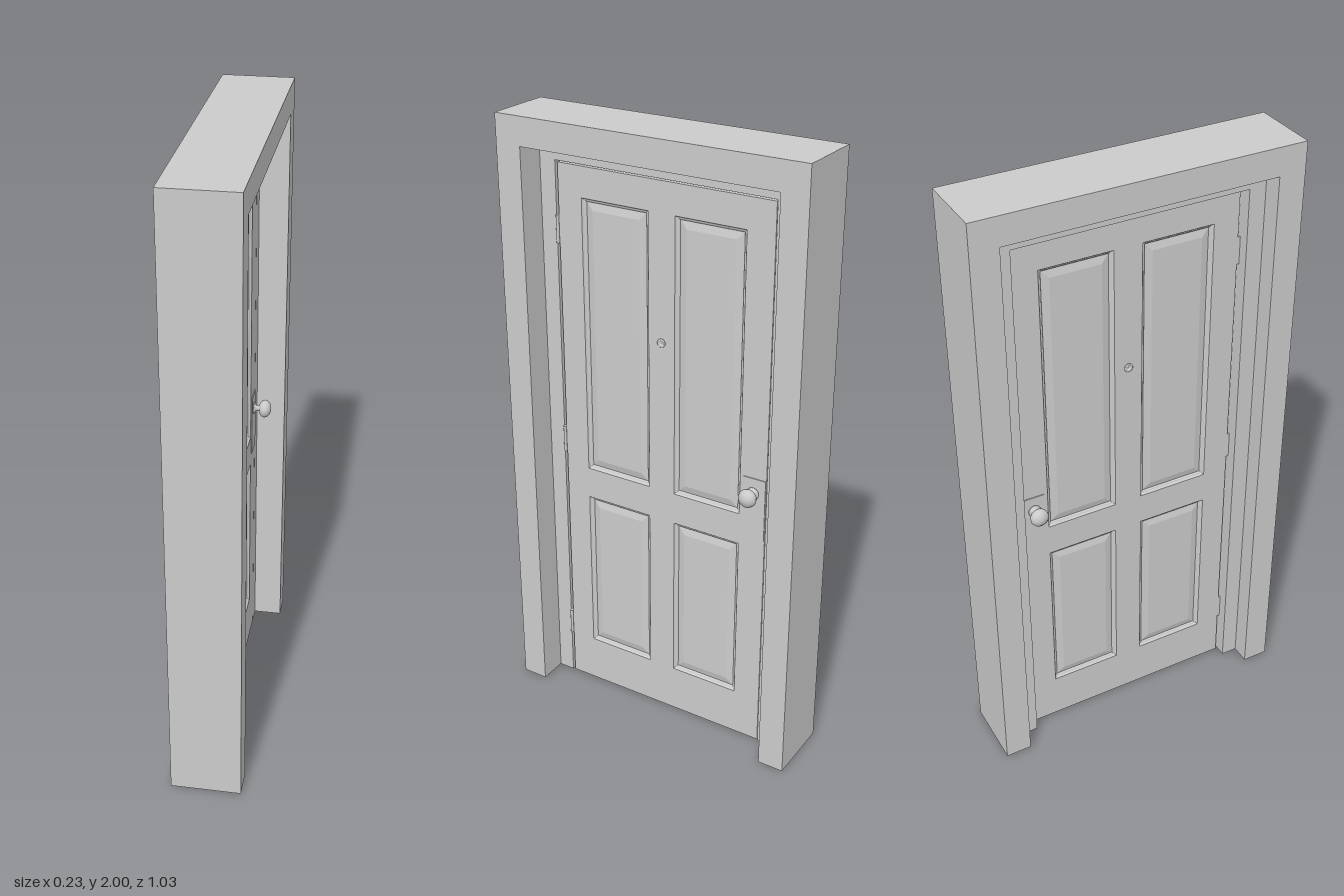
import * as THREE from 'three';

const material = new THREE.MeshStandardMaterial({ color: 0xcccccc });

function add(parent, geometry, name, x = 0, y = 0, z = 0) {
  const mesh = new THREE.Mesh(geometry, material);
  mesh.name = name;
  mesh.position.set(x, y, z);
  parent.add(mesh);
  return mesh;
}

const loop = (points) => points.map(([x, y]) => new THREE.Vector2(x, y));

// Extrudes an outline drawn in (-z, y) along x, from x0 to x1.
function slab(shape, x0, x1) {
  const g = new THREE.ExtrudeGeometry(shape, { depth: x1 - x0, bevelEnabled: false });
  g.translate(0, 0, x0);
  g.rotateY(Math.PI / 2);
  return g;
}

// Doorway surround: two posts and a head, open at the bottom.
function surround(outW, outH, inW, inH) {
  return new THREE.Shape(loop([
    [-outW, 0], [-inW, 0], [-inW, inH], [inW, inH],
    [inW, 0], [outW, 0], [outW, outH], [-outW, outH],
  ]));
}

// Raised panel facing +z: nested rectangles, each [inset, height].
function raisedPanel(w, h) {
  const steps = [[0, 0.0165], [0.004, 0.011], [0.009, 0.009], [0.012, 0.005], [0.036, 0.011]];
  const rings = steps.map(([inset, d]) => {
    const a = w / 2 - inset, b = h / 2 - inset;
    return [[-a, -b, d], [a, -b, d], [a, b, d], [-a, b, d]];
  });
  const pos = [];
  const quad = (a, b, c, d) => pos.push(...a, ...b, ...c, ...a, ...c, ...d);
  for (let i = 0; i < rings.length - 1; i++) {
    for (let k = 0; k < 4; k++) {
      const n = (k + 1) % 4;
      quad(rings[i][k], rings[i][n], rings[i + 1][n], rings[i + 1][k]);
    }
  }
  quad(...rings[rings.length - 1]);
  const g = new THREE.BufferGeometry();
  g.setAttribute('position', new THREE.Float32BufferAttribute(pos, 3));
  g.computeVertexNormals();
  return g;
}

export function createModel() {
  const model = new THREE.Group();
  model.name = 'panelledDoor';

  // Outer frame and the narrower door stop inside it
  add(model, slab(surround(0.517, 2, 0.43, 1.91), -0.113, 0.113), 'outerFrame');
  add(model, slab(surround(0.43, 1.91, 0.375, 1.857), -0.049, 0.018), 'doorStop');

  // Door leaf with four panel openings
  const x0 = -0.015, x1 = 0.018, mid = (x0 + x1) / 2;
  const leaf = new THREE.Shape(loop([[-0.366, 0.003], [0.373, 0.003], [0.373, 1.852], [-0.366, 1.852]]));
  const panelW = 0.236, panelZ = 0.164;
  const rows = [[0.165, 0.735], [0.842, 1.755]];
  const openings = [-1, 1].flatMap((s) => rows.map(([lo, hi]) => ({ c: s * panelZ, lo, hi })));
  for (const { c, lo, hi } of openings) {
    const a = c - panelW / 2, b = c + panelW / 2;
    leaf.holes.push(new THREE.Path(loop([[a, lo], [a, hi], [b, hi], [b, lo]])));
  }
  add(model, slab(leaf, x0, x1), 'doorLeaf');

  // Raised panels on both faces
  for (const { c, lo, hi } of openings) {
    for (const side of [-1, 1]) {
      const panel = add(model, raisedPanel(panelW, hi - lo), 'raisedPanel', mid, (lo + hi) / 2, -c);
      panel.rotation.y = side * Math.PI / 2;
    }
  }

  // Knob, lock plate and peephole on both faces
  const knobProfile = [
    [0, 0], [0.02, 0], [0.02, 0.004], [0.01, 0.007], [0.009, 0.018], [0.018, 0.021],
    [0.027, 0.028], [0.03, 0.037], [0.027, 0.047], [0.018, 0.055], [0.008, 0.058], [0, 0.059],
  ];
  const ringProfile = [[0.007, 0], [0.014, 0], [0.014, 0.003], [0.011, 0.005], [0.008, 0.004], [0.006, 0.001], [0, 0.001]];
  for (const side of [-1, 1]) {
    const face = side > 0 ? x1 : x0;
    const knob = add(model, new THREE.LatheGeometry(loop(knobProfile), 28), 'doorKnob', face + side * 0.003, 0.93, -0.33);
    knob.rotation.z = -side * Math.PI / 2;
    add(model, new THREE.BoxGeometry(0.004, 0.21, 0.076), 'lockPlate', face + side * 0.001, 0.875, -0.333);
    const peephole = add(model, new THREE.LatheGeometry(loop(ringProfile), 20), 'peephole', face, 1.35, 0);
    peephole.rotation.z = -side * Math.PI / 2;
  }

  // Hinges in the gap beside the leaf
  for (const y of [0.21, 0.93, 1.645]) {
    add(model, new THREE.BoxGeometry(0.03, 0.09, 0.01), 'hingeLeaf', mid, y, 0.3705);
    add(model, new THREE.CylinderGeometry(0.005, 0.005, 0.09, 12), 'hingeKnuckle', x1 + 0.003, y, 0.3705);
  }

  return model;
}
